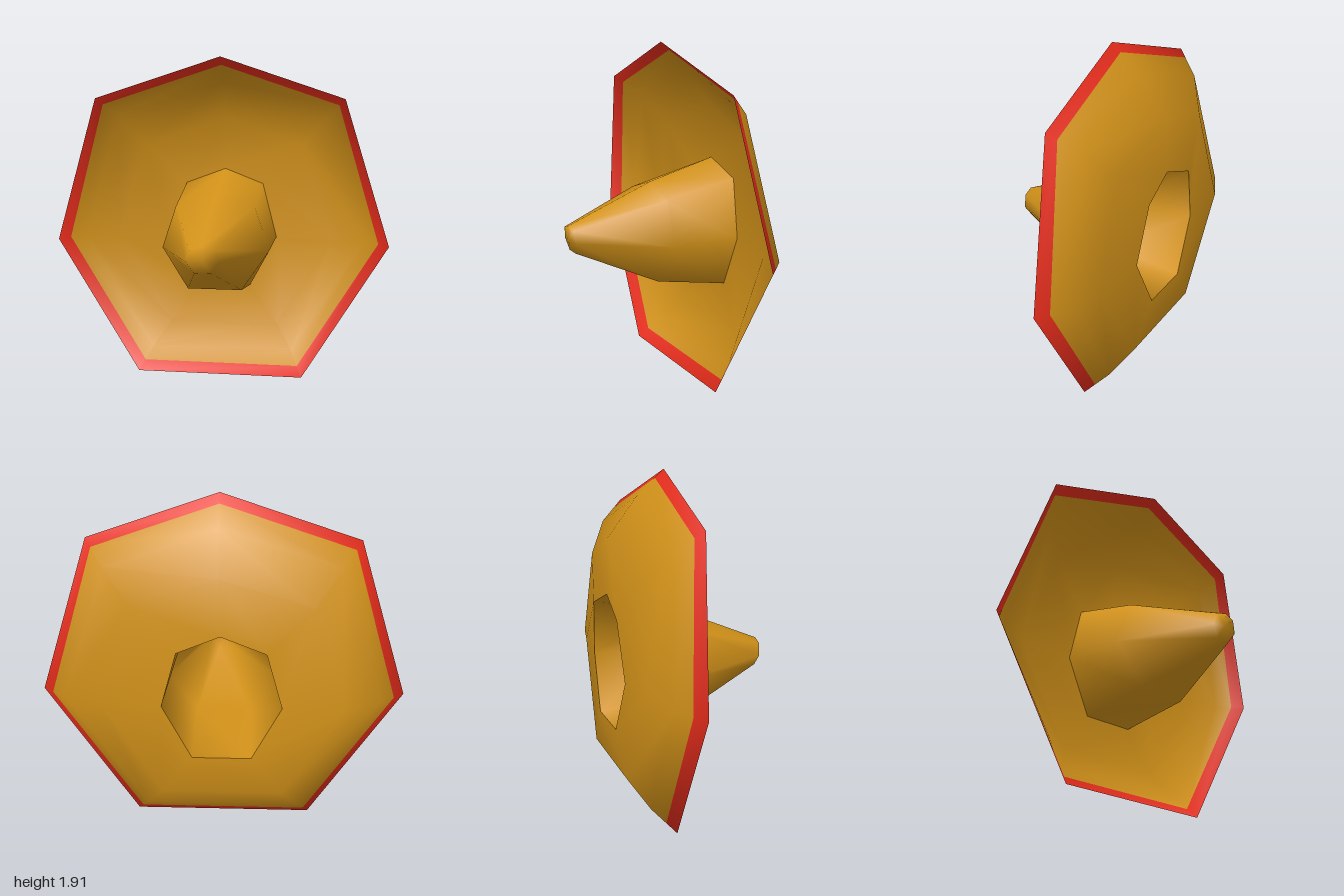
import * as THREE from 'three';

// Seven-sided outline, clockwise from the top: x, height fraction, z slot
const outline = [
  [0.02, 1, 0], [0.73, 0.875, 1], [1, 0.425, 2], [0.5, 0, 3],
  [-0.5, 0, 3], [-1, 0.425, 4], [-0.73, 0.875, 1],
];
const n = outline.length;

// Ring from half width, bottom y, top y, z at [top, upper corners, left, bottom, right]
function ring([w, y0, y1, zs]) {
  return outline.map(([x, t, k]) => new THREE.Vector3(x * w, y0 + t * (y1 - y0), zs[k]));
}

// Smooth open sheet joining rings from the outside in, closed by a centre point if given
function sheet(rings, centre) {
  const points = rings.flat();
  const index = [];
  for (let r = 0; r < rings.length - 1; r++) {
    for (let i = 0; i < n; i++) {
      const j = (i + 1) % n;
      const a = r * n + i, b = r * n + j, c = a + n, d = b + n;
      index.push(a, c, b, b, c, d);
    }
  }
  if (centre) {
    const last = points.length - n;
    for (let i = 0; i < n; i++) index.push(last + i, points.length, last + (i + 1) % n);
    points.push(centre);
  }
  const geometry = new THREE.BufferGeometry().setFromPoints(points);
  geometry.setIndex(index);
  geometry.computeVertexNormals();
  return geometry;
}

export function createModel() {
  const straw = new THREE.MeshStandardMaterial({ color: 0xd19119, side: THREE.DoubleSide });
  straw.name = 'straw';
  const red = new THREE.MeshStandardMaterial({ color: 0xe42c1b, side: THREE.DoubleSide });
  red.name = 'redTrim';

  const edge = ring([1.0, 0.0, 1.91, [-0.10, -0.145, -0.23, -0.21, -0.23]]);
  const upturn = ring([0.86, 0.13, 1.765, [-0.26, -0.285, -0.36, -0.335, -0.36]]);
  const floor = ring([0.66, 0.275, 1.55, [-0.425, -0.395, -0.40, -0.435, -0.45]]);
  const base = ring([0.325, 0.51, 1.24, [-0.44, -0.455, -0.435, -0.45, -0.44]]);
  const shoulder = ring([0.315, 0.575, 1.125, [-0.04, -0.04, -0.04, -0.02, -0.06]]);
  const tip = ring([0.09, 0.765, 0.915, [0.46, 0.455, 0.445, 0.435, 0.445]]);

  // Where the red trim ends: narrower along the top than at the sides and bottom
  const trimWidth = [0.32, 0.33, 0.43, 0.42, 0.43];
  const trimEnd = edge.map((p, i) => p.clone().lerp(upturn[i], trimWidth[outline[i][2]]));

  // Brim, red along its outer band
  const brimGeometry = sheet([edge, trimEnd, upturn, floor, base]);
  brimGeometry.addGroup(0, n * 6, 0);
  brimGeometry.addGroup(n * 6, n * 18, 1);
  const brim = new THREE.Mesh(brimGeometry, [red, straw]);
  brim.name = 'brim';

  // Hollow tapering crown, open at the back
  const crown = new THREE.Mesh(sheet([base, shoulder, tip], new THREE.Vector3(0, 0.84, 0.455)), straw);
  crown.name = 'crown';

  const group = new THREE.Group();
  group.name = 'hat';
  group.add(brim, crown);
  return group;
}
